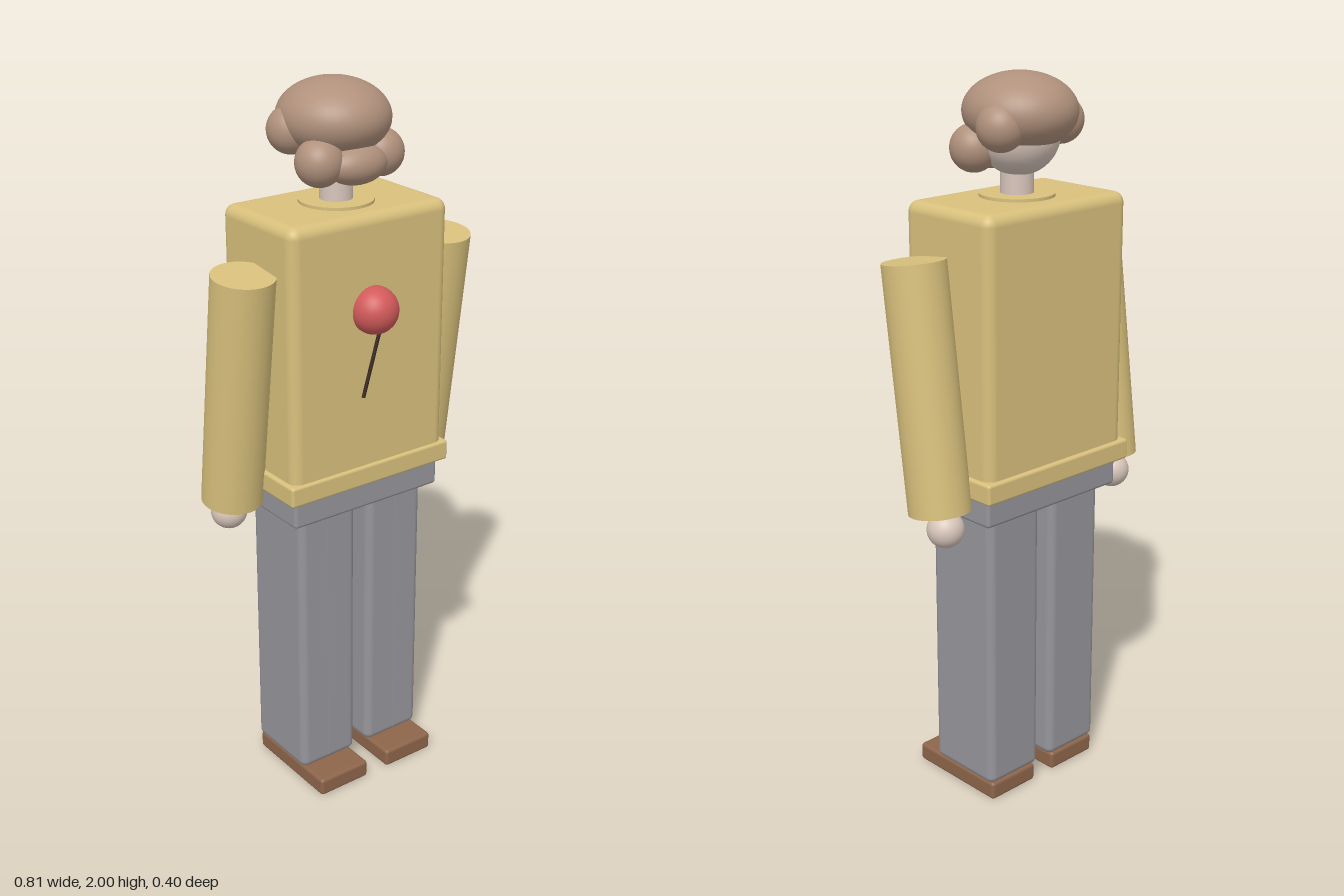
import * as THREE from 'three';
import { RoundedBoxGeometry } from 'three/addons/geometries/RoundedBoxGeometry.js';

const paint = (name, color) => {
  const m = new THREE.MeshStandardMaterial({ color });
  m.name = name;
  return m;
};

export function createModel() {
  const model = new THREE.Group();
  model.name = 'standingFigure';

  const sweater = paint('mustard wool', 0xd8c07c);
  const trouser = paint('grey trousers', 0x95959b);
  const leather = paint('brown leather', 0x8d654a);
  const skin = paint('pale skin', 0xd8c6bb);
  const hair = paint('brown hair', 0xb0917c);
  const red = paint('red pin head', 0xd25a5a);
  const dark = paint('dark stem', 0x3a2a20);

  const add = (name, geometry, material, x, y, z) => {
    const mesh = new THREE.Mesh(geometry, material);
    mesh.name = name;
    mesh.position.set(x, y, z);
    model.add(mesh);
    return mesh;
  };
  // Softened box given by its limits on each axis
  const block = (name, material, [x0, x1], [y0, y1], [z0, z1], r) =>
    add(name, new RoundedBoxGeometry(x1 - x0, y1 - y0, z1 - z0, 4, r), material,
      (x0 + x1) / 2, (y0 + y1) / 2, (z0 + z1) / 2);
  const ball = (name, material, x, y, z, rx, ry = rx, rz = rx) => {
    const mesh = add(name, new THREE.SphereGeometry(1, 40, 28), material, x, y, z);
    mesh.scale.set(rx, ry, rz);
    return mesh;
  };
  // Straight rod between two points
  const rod = (name, material, a, b, r) => {
    const from = new THREE.Vector3(...a), to = new THREE.Vector3(...b);
    const mid = from.clone().add(to).multiplyScalar(0.5);
    const mesh = add(name, new THREE.CylinderGeometry(r, r, from.distanceTo(to), 40), material, mid.x, mid.y, mid.z);
    mesh.quaternion.setFromUnitVectors(new THREE.Vector3(0, 1, 0), to.sub(from).normalize());
    return mesh;
  };

  // Torso, hem and hips
  block('torso', sweater, [-0.252, 0.252], [0.94, 1.682], [-0.19, 0.127], 0.03);
  block('sweaterHem', sweater, [-0.264, 0.264], [0.932, 0.99], [-0.202, 0.135], 0.008);
  block('hips', trouser, [-0.242, 0.242], [0.855, 0.96], [-0.175, 0.115], 0.01);

  // Neck and collar
  add('collar', new THREE.CylinderGeometry(0.1, 0.1, 0.02, 40), sweater, 0, 1.68, -0.03);
  add('neck', new THREE.CylinderGeometry(0.044, 0.044, 0.14, 32), skin, 0, 1.74, -0.03);

  // Head, hair and beard
  ball('head', skin, 0, 1.845, -0.035, 0.11);
  ball('hairCap', hair, 0, 1.9, -0.041, 0.147, 0.1, 0.154);
  ball('beard', hair, 0, 1.795, 0.057, 0.088, 0.052, 0.058);

  for (const side of [1, -1]) {
    const label = side > 0 ? 'left' : 'right';
    ball(label + 'SideCurl', hair, side * 0.105, 1.872, -0.08, 0.063);
    ball(label + 'CheekCurl', hair, side * 0.096, 1.808, 0.03, 0.063);

    // Sleeve and hand
    rod(label + 'Sleeve', sweater, [side * 0.319, 0.9, -0.073], [side * 0.319, 1.553, 0.012], 0.084);
    ball(label + 'Hand', skin, side * 0.318, 0.855, -0.093, 0.05);

    // Trouser leg with a pressed crease, and shoe
    const leg = block(label + 'Leg', trouser, [0.022, 0.208], [0.05, 0.88], [-0.146, 0.09], 0.022);
    leg.position.x *= side;
    add(label + 'Crease', new THREE.BoxGeometry(0.006, 0.78, 0.006), trouser, side * 0.118, 0.46, 0.091);
    const shoe = block(label + 'Shoe', leather, [0.035, 0.2], [0, 0.053], [-0.144, 0.168], 0.01);
    shoe.position.x *= side;
  }

  // Round pin on the chest
  ball('pinHead', red, 0, 1.43, 0.136, 0.064);
  rod('pinStem', dark, [-0.036, 1.195, 0.138], [0.008, 1.38, 0.15], 0.005);

  return model;
}
